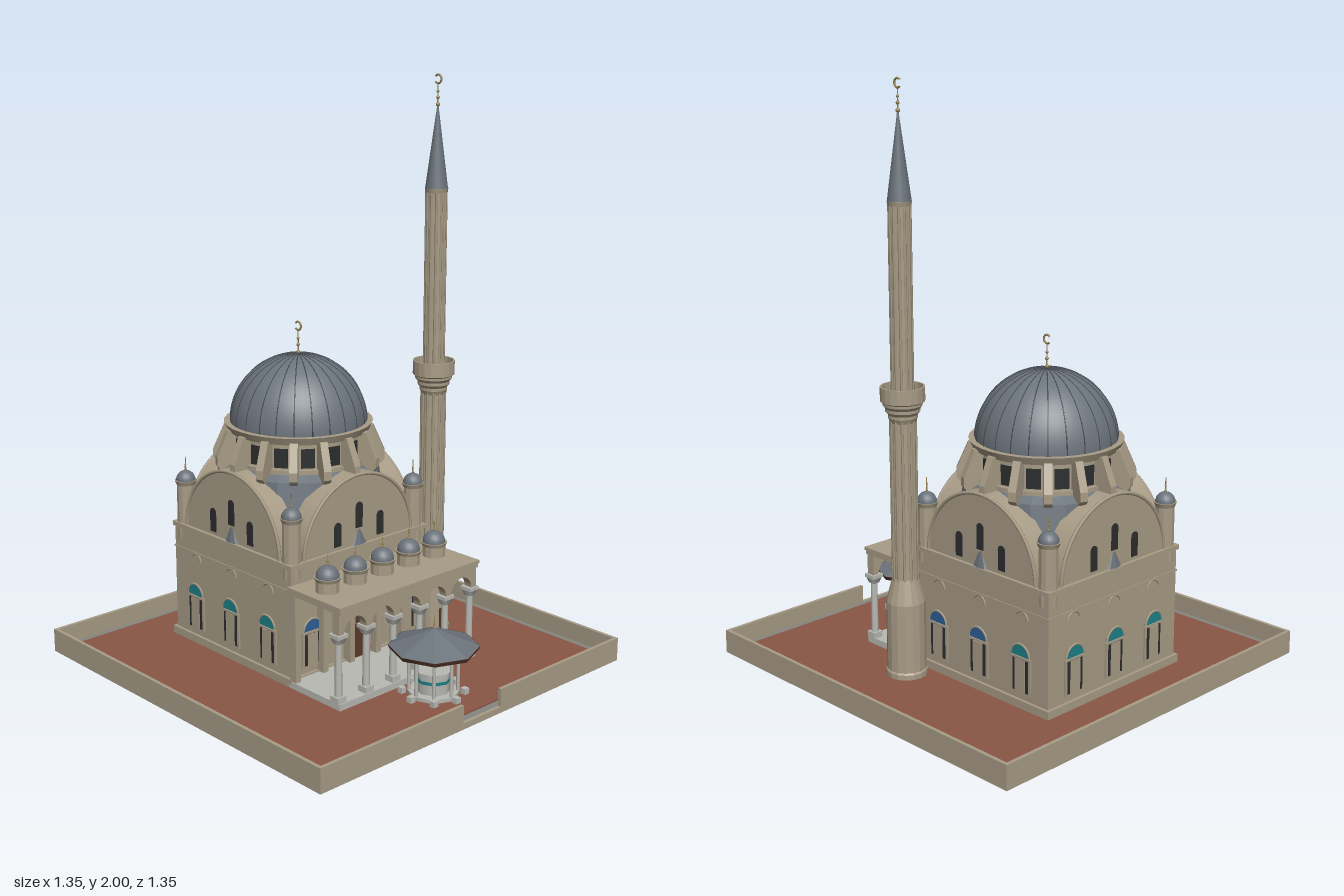
import * as THREE from 'three';

const mat = (color, flatShading = false, extra = {}) => new THREE.MeshStandardMaterial({ color, flatShading, ...extra });
const M = {
  stone: mat(0xa89c86), stoneFlat: mat(0xa89c86, true), dark: mat(0x2c2d2e), lead: mat(0x6b737b),
  leadFlat: mat(0x6b737b, true), rib: mat(0x474d54), brick: mat(0x8a5645), paving: mat(0x85867f),
  marble: mat(0xb9b9b4), blue: mat(0x2f5f9a), teal: mat(0x1d8088), gold: mat(0x9c8a58),
  wood: mat(0x5b3a2c), rose: mat(0xa07a70), slab: mat(0x55534f),
};
const DRUM_Z = -0.175;

function add(parent, name, geo, material, x = 0, y = 0, z = 0) {
  const m = new THREE.Mesh(geo, material);
  m.name = name;
  m.position.set(x, y, z);
  parent.add(m);
  return m;
}
function group(parent, name, x = 0, y = 0, z = 0) {
  const g = new THREE.Group();
  g.name = name;
  g.position.set(x, y, z);
  parent.add(g);
  return g;
}
// box given by its centre in x and z and its bottom and top heights
const block = (p, name, material, x, z, w, d, y0, y1) =>
  add(p, name, new THREE.BoxGeometry(w, y1 - y0, d), material, x, (y0 + y1) / 2, z);
const post = (p, name, material, x, z, r0, r1, y0, y1, n = 16) =>
  add(p, name, new THREE.CylinderGeometry(r1, r0, y1 - y0, n), material, x, (y0 + y1) / 2, z);
const lathe = (pts, n) => new THREE.LatheGeometry(pts.map(p => new THREE.Vector2(...p)), n);
const domeGeo = (r, n = 24, rows = 8) => new THREE.SphereGeometry(r, n, rows, 0, Math.PI * 2, 0, Math.PI / 2);
const extrude = (shape, depth) => new THREE.ExtrudeGeometry(shape, { depth, bevelEnabled: false, curveSegments: 20 });

// upright opening with a round head
function archShape(w, y0, y1) {
  const r = w / 2, s = new THREE.Shape();
  s.moveTo(-r, y0);
  s.lineTo(r, y0);
  s.lineTo(r, y1 - r);
  s.absarc(0, y1 - r, r, 0, Math.PI, false);
  s.lineTo(-r, y0);
  return s;
}
function halfDisc(r) {
  const s = new THREE.Shape();
  s.absarc(0, 0, r, 0, Math.PI, false);
  s.lineTo(r, 0);
  return s;
}

// rod with beads, optionally ending in a crescent
function finial(parent, x, y, z, h, crescent) {
  const g = group(parent, 'finial', x, y, z);
  const k = crescent ? h - 0.034 : h;
  post(g, 'finialRod', M.gold, 0, 0, 0.003, 0.0015, 0, k, 6);
  [0.15, 0.45, 0.7].forEach((t, i) =>
    add(g, 'finialBead', new THREE.SphereGeometry((crescent ? 0.007 : 0.004) - i * 0.001, 8, 6), M.gold, 0, k * t, 0));
  if (crescent) {
    const c = add(g, 'crescent', new THREE.TorusGeometry(0.014, 0.0035, 6, 20, 5), M.gold, 0, h - 0.0175, 0);
    c.rotation.set(0, Math.PI / 2, 0);
    c.geometry.rotateZ(0.64);
  }
}

function courtyard(root) {
  const g = group(root, 'courtyard');
  block(g, 'foundation', M.stone, 0, -0.168, 0.62, 0.615, 0, 0.07);
  block(g, 'groundSlab', M.slab, 0, 0, 1.34, 1.34, 0.07, 0.084);
  block(g, 'pavingBorder', M.paving, 0, 0, 1.34, 1.34, 0.084, 0.088);
  block(g, 'brickFloor', M.brick, 0, 0, 1.27, 1.27, 0.086, 0.093);
  for (const s of [-1, 1]) {
    block(g, 'sideWall', M.stone, s * 0.669, 0, 0.012, 1.35, 0.07, 0.15);
    block(g, 'frontWall', M.stone, s * 0.38, 0.669, 0.59, 0.012, 0.07, 0.15);
  }
  block(g, 'backWall', M.stone, 0, -0.669, 1.35, 0.012, 0.07, 0.15);
  block(g, 'entranceSill', M.stone, 0, 0.669, 0.17, 0.012, 0.07, 0.09);
}

// window with jambs, dark glazing and a tiled lunette
function lowWindow(f, x, tile) {
  const g = group(f, 'window', x, 0, 0.3);
  block(g, 'windowFrame', M.stone, 0, 0, 0.084, 0.012, 0.14, 0.262);
  block(g, 'glazing', M.dark, 0, 0.001, 0.066, 0.013, 0.148, 0.255);
  block(g, 'shutter', M.stone, 0, 0.002, 0.044, 0.014, 0.148, 0.255);
  add(g, 'lunette', extrude(halfDisc(0.036), 0.008), tile, 0, 0.266, 0);
  add(g, 'lunetteArch', new THREE.TorusGeometry(0.039, 0.004, 6, 16, Math.PI), M.stone, 0, 0.266, 0.006);
}

function facade(hall, k) {
  const f = group(hall, 'facade');
  f.rotation.y = k * Math.PI / 2;
  add(f, 'tympanum', extrude(halfDisc(0.243), 0.075), M.stone, 0, 0.5, 0.22);
  add(f, 'archivolt', new THREE.TorusGeometry(0.24, 0.006, 6, 32, Math.PI), M.stone, 0, 0.5, 0.295);
  for (const [x, y0, y1] of [[0, 0.56, 0.647], [-0.095, 0.515, 0.597], [0.095, 0.515, 0.597]])
    add(f, 'archedWindow', extrude(archShape(0.03, y0, y1), 0.004), M.dark, x, 0, 0.293);
  const hood = add(f, 'leadHood', new THREE.ConeGeometry(0.036, 0.07, 8), M.leadFlat, 0, 0.535, 0.292);
  hood.scale.z = 0.4;
  block(f, 'cornice', M.stone, 0, 0.3, 0.61, 0.014, 0.488, 0.503);
  block(f, 'stringCourse', M.stone, 0, 0.3, 0.606, 0.006, 0.412, 0.418);
  if (k === 0) {
    [-0.215, 0.215].forEach(x => lowWindow(f, x, M.blue));
    return;
  }
  for (const x of [-0.187, 0, 0.187]) {
    lowWindow(f, x, k === 1 && x < 0.1 ? M.blue : M.teal);
    add(f, 'reliefArch', new THREE.TorusGeometry(0.026, 0.004, 6, 14, Math.PI), M.stone, x, 0.385, 0.3);
  }
}

function prayerHall(root) {
  const g = group(root, 'prayerHall', 0, 0, DRUM_Z);
  block(g, 'hallWalls', M.stone, 0, 0, 0.6, 0.6, 0.085, 0.5);
  block(g, 'plinth', M.stone, 0, 0, 0.62, 0.62, 0.085, 0.12);
  for (let k = 0; k < 4; k++) facade(g, k);

  // faceted lead transition between the arches and the drum
  const skirt = add(g, 'leadTransition', lathe([[0.29, 0.5], [0.287, 0.62], [0.27, 0.725], [0.225, 0.75]], 16), M.leadFlat);
  skirt.rotation.y = Math.PI / 16;

  // drum with windows and sloping buttresses
  post(g, 'drum', M.stone, 0, 0, 0.223, 0.223, 0.7, 0.86, 32);
  post(g, 'drumFoot', M.stone, 0, 0, 0.237, 0.237, 0.735, 0.757, 32);
  post(g, 'drumCornice', M.stone, 0, 0, 0.238, 0.25, 0.843, 0.868, 32);
  const b = new THREE.Shape([[0.215, 0.72], [0.276, 0.72], [0.288, 0.735], [0.288, 0.765], [0.25, 0.852], [0.215, 0.852]]
    .map(p => new THREE.Vector2(...p)));
  const buttressGeo = extrude(b, 0.026).translate(0, 0, -0.013);
  for (let i = 0; i < 16; i++) {
    add(g, 'buttress', buttressGeo, M.stone).rotation.y = i * Math.PI / 8;
    const w = group(g, 'drumWindow');
    w.rotation.y = (i + 0.5) * Math.PI / 8;
    block(w, 'drumGlazing', M.dark, 0, 0.22, 0.046, 0.012, 0.762, 0.826);
  }

  // main dome with meridian ribs
  add(g, 'mainDome', domeGeo(0.23, 48, 16), M.lead, 0, 0.862, 0);
  const ribGeo = new THREE.TorusGeometry(0.2295, 0.0022, 4, 18, Math.PI / 2);
  for (let i = 0; i < 24; i++) add(g, 'domeRib', ribGeo, M.rib, 0, 0.862, 0).rotation.y = i * Math.PI / 12;
  finial(g, 0, 1.085, 0, 0.118, true);

  // corner turrets
  for (const x of [-0.272, 0.272]) for (const z of [-0.272, 0.272]) {
    const t = group(g, 'cornerTurret', x, 0, z);
    post(t, 'turretShaft', M.stoneFlat, 0, 0, 0.031, 0.031, 0.45, 0.645, 12);
    post(t, 'turretCornice', M.stone, 0, 0, 0.032, 0.038, 0.635, 0.65, 16);
    add(t, 'turretDome', domeGeo(0.033, 16, 6), M.lead, 0, 0.65, 0);
    finial(t, 0, 0.68, 0, 0.05, false);
  }
}

function portico(root) {
  const g = group(root, 'portico');
  block(g, 'porticoFloor', M.marble, 0, 0.243, 0.62, 0.24, 0.085, 0.115);
  block(g, 'porticoRoof', M.stone, 0, 0.244, 0.62, 0.242, 0.41, 0.424);
  block(g, 'roofCornice', M.stone, 0, 0.245, 0.628, 0.246, 0.424, 0.435);

  // arcade wall, open below into round arches; repeated shallowly on the hall wall
  const s = new THREE.Shape();
  s.moveTo(-0.31, 0.34);
  for (let i = -2; i <= 2; i++) {
    s.lineTo(i * 0.12 - 0.048, 0.34);
    s.absarc(i * 0.12, 0.34, 0.048, Math.PI, 0, true);
  }
  s.lineTo(0.31, 0.34);
  s.lineTo(0.31, 0.41);
  s.lineTo(-0.31, 0.41);
  s.closePath();
  add(g, 'arcade', extrude(s, 0.03), M.stone, 0, 0, 0.328);
  add(g, 'wallArcade', extrude(s, 0.03), M.stone, 0, 0, 0.125);
  for (let i = 0; i < 6; i++) {
    const x = -0.297 + i * 0.1188;
    post(g, 'column', M.marble, x, 0.342, 0.0125, 0.011, 0.11, 0.32, 14);
    block(g, 'columnBase', M.marble, x, 0.342, 0.036, 0.036, 0.112, 0.135);
    const cap = post(g, 'capital', M.marble, x, 0.342, 0.017, 0.029, 0.31, 0.334, 4);
    cap.rotation.y = Math.PI / 4;
    block(g, 'abacus', M.marble, x, 0.342, 0.043, 0.043, 0.33, 0.342);
    block(g, 'wallPier', M.stone, x, 0.14, 0.022, 0.03, 0.11, 0.342);
  }
  for (let i = -2; i <= 2; i++) {
    const d = group(g, 'porticoDome', i * 0.12, 0, 0.23);
    post(d, 'domeDrum', M.stoneFlat, 0, 0, 0.039, 0.039, 0.43, 0.475, 12);
    post(d, 'domeLip', M.stone, 0, 0, 0.039, 0.044, 0.47, 0.482, 20);
    add(d, 'smallDome', domeGeo(0.038, 20, 6), M.lead, 0, 0.482, 0);
    finial(d, 0, 0.518, 0, 0.037, false);
  }

  // entrance portal
  add(g, 'portalFrame', extrude(archShape(0.11, 0.1, 0.38), 0.012), M.rose, 0, 0, 0.122);
  add(g, 'portalNiche', extrude(archShape(0.08, 0.1, 0.34), 0.004), M.marble, 0, 0, 0.131);
  block(g, 'door', M.wood, 0, 0.133, 0.06, 0.008, 0.115, 0.26);
}

function minaret(root) {
  const g = group(root, 'minaret', 0.38, 0, 0.083);
  add(g, 'minaretBase', lathe([[0.068, 0.085], [0.068, 0.11], [0.064, 0.115], [0.064, 0.345], [0.042, 0.425]], 16), M.stoneFlat);
  block(g, 'minaretDoor', M.wood, 0, 0.062, 0.034, 0.006, 0.1, 0.183);
  post(g, 'lowerShaft', M.stoneFlat, 0, 0, 0.04, 0.04, 0.42, 0.97, 16);
  post(g, 'upperShaft', M.stoneFlat, 0, 0, 0.034, 0.033, 1.0, 1.63, 16);
  for (let i = 0; i < 12; i++) {
    const a = (i + 0.5) * Math.PI / 6, c = Math.cos(a), s = Math.sin(a);
    post(g, 'shaftRib', M.stone, c * 0.039, s * 0.039, 0.005, 0.005, 0.41, 0.96, 6);
    post(g, 'shaftRib', M.stone, c * 0.032, s * 0.032, 0.005, 0.005, 1.0, 1.625, 6);
  }
  // stepped corbels and hollow parapet
  add(g, 'balcony', lathe([[0.04, 0.94], [0.047, 0.955], [0.047, 0.965], [0.055, 0.975], [0.055, 0.985], [0.063, 0.995],
    [0.063, 1.003], [0.071, 1.008], [0.071, 1.055], [0.065, 1.055], [0.065, 1.015], [0.03, 1.015]], 20), M.stoneFlat);
  post(g, 'spireCornice', M.stone, 0, 0, 0.036, 0.039, 1.618, 1.632, 20);
  post(g, 'spire', M.lead, 0, 0, 0.038, 0.002, 1.63, 1.9, 20);
  finial(g, 0, 1.89, 0, 0.11, true);
}

function fountain(root) {
  const g = group(root, 'ablutionFountain', 0, 0, 0.465);
  post(g, 'fountainStep', M.marble, 0, 0, 0.085, 0.085, 0.088, 0.105, 8);
  post(g, 'basin', M.marble, 0, 0, 0.055, 0.055, 0.1, 0.172, 8);
  post(g, 'basinBand', M.teal, 0, 0, 0.057, 0.057, 0.14, 0.15, 8);
  post(g, 'basinRim', M.marble, 0, 0, 0.06, 0.06, 0.165, 0.176, 8);
  for (let i = 0; i < 8; i++) {
    const a = i * Math.PI / 4, x = Math.sin(a), z = Math.cos(a);
    post(g, 'fountainPost', M.marble, x * 0.078, z * 0.078, 0.006, 0.006, 0.09, 0.25, 8);
    block(g, 'seat', M.marble, x * 0.1, z * 0.1, 0.02, 0.02, 0.09, 0.112);
  }
  post(g, 'eaves', M.wood, 0, 0, 0.14, 0.147, 0.242, 0.256, 8);
  add(g, 'fountainRoof', new THREE.ConeGeometry(0.145, 0.058, 8), M.leadFlat, 0, 0.285, 0);
  finial(g, 0, 0.308, 0, 0.045, false);
}

export function createModel() {
  const root = new THREE.Group();
  root.name = 'domedMosque';
  [courtyard, prayerHall, portico, minaret, fountain].forEach(build => build(root));
  return root;
}
